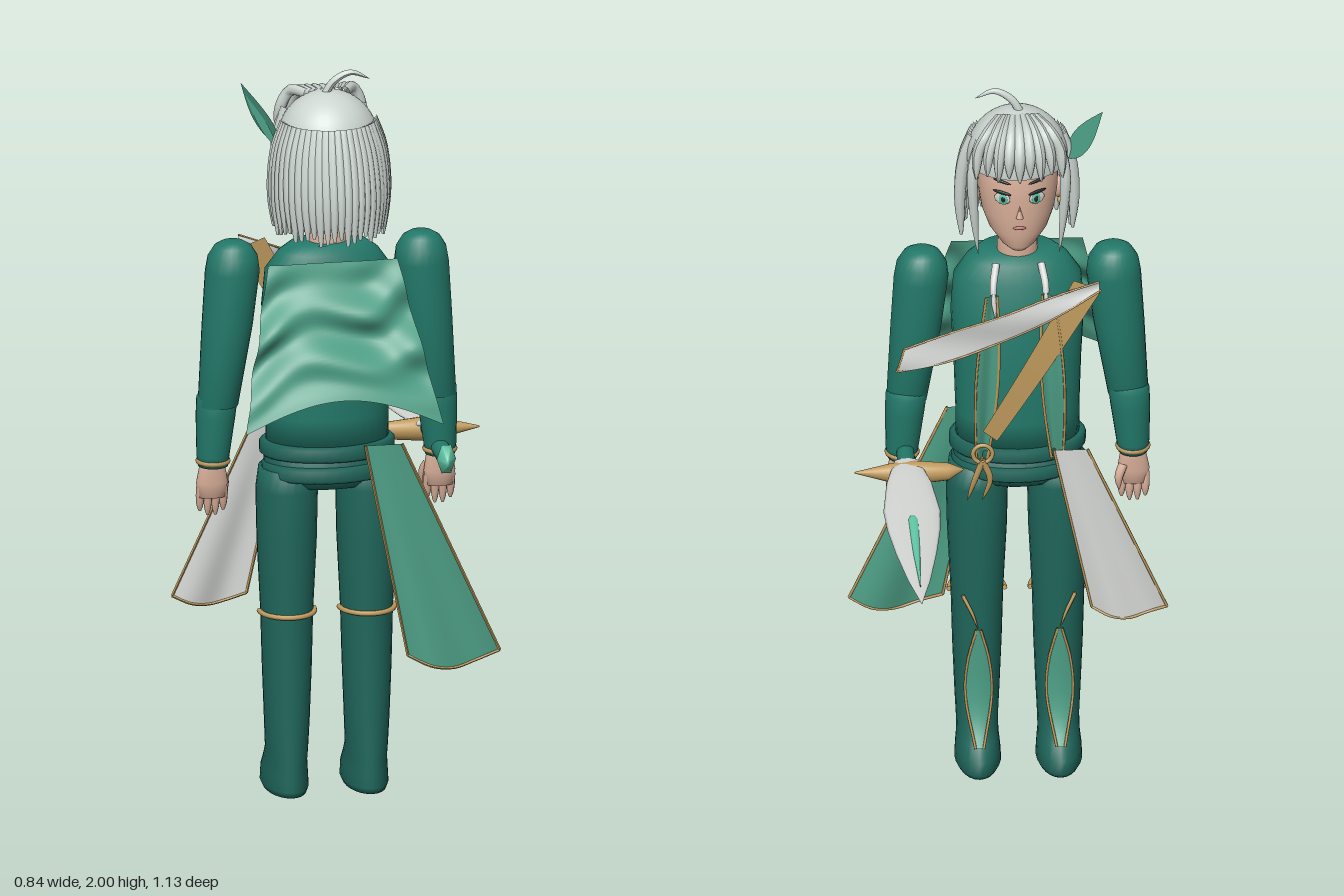
import * as THREE from 'three';

const D = { side: THREE.DoubleSide };
const mat = (name, color, opt = {}) => {
  const m = new THREE.MeshStandardMaterial({ color, ...opt });
  m.name = name;
  return m;
};
const V = (p) => new THREE.Vector3(...p);
const lerp = THREE.MathUtils.lerp;

export function createModel() {
  const teal = mat('teal', 0x23796a), deep = mat('deepTeal', 0x1f665b), green = mat('clothGreen', 0x4c9d84, D),
    mint = mat('mint', 0x62c9a8, D), hair = mat('silverHair', 0xccd5d0), white = mat('whiteCloth', 0xd3d5d2, D),
    gold = mat('gold', 0xbf9a5d, D), skin = mat('skin', 0xdab09a), dark = mat('dark', 0x1b2826), rose = mat('rose', 0xb56f68);

  const root = new THREE.Group();
  root.name = 'swordsman';
  const body = new THREE.Group();
  body.name = 'body';
  body.position.x = -0.03;
  root.add(body);

  const add = (parent, name, geo, m, pos = [0, 0, 0]) => {
    const mesh = new THREE.Mesh(geo, m);
    mesh.name = name;
    mesh.position.set(...pos);
    parent.add(mesh);
    return mesh;
  };

  // Closed elliptical loft; each section is [y, cx, cz, rx, rz]
  const loft = (sections, n = 24) => {
    const f = sections[0], l = sections.at(-1);
    const rings = [[f[0], f[1], f[2], 0, 0], ...sections, [l[0], l[1], l[2], 0, 0]];
    const pos = [], idx = [];
    rings.forEach(([y, cx, cz, rx, rz], i) => {
      for (let j = 0; j < n; j++) {
        const t = (j / n) * Math.PI * 2;
        pos.push(cx + rx * Math.cos(t), y, cz + rz * Math.sin(t));
        if (i === rings.length - 1) continue;
        const a = i * n + j, b = i * n + (j + 1) % n;
        idx.push(a, a + n, b, b, a + n, b + n);
      }
    });
    const g = new THREE.BufferGeometry();
    g.setAttribute('position', new THREE.Float32BufferAttribute(pos, 3));
    g.setIndex(idx);
    g.computeVertexNormals();
    return g;
  };

  // Tube along a curve whose radius follows a taper rule
  const strand = (pts, r, taper = (u) => 1 - 0.95 * u ** 3, seg = 14, rad = 8) => {
    const c = new THREE.CatmullRomCurve3(pts.map(V));
    const g = new THREE.TubeGeometry(c, seg, r, rad);
    const p = g.attributes.position, v = new THREE.Vector3();
    for (let k = 0; k < p.count; k++) {
      const u = Math.floor(k / (rad + 1)) / seg, o = c.getPointAt(u);
      v.fromBufferAttribute(p, k).sub(o).multiplyScalar(taper(u)).add(o);
      p.setXYZ(k, v.x, v.y, v.z);
    }
    g.computeVertexNormals();
    return g;
  };

  // Cloth surface from a rule f(u, v) -> [x, y, z]
  const sheet = (f, nu = 16, nv = 20) => {
    const g = new THREE.PlaneGeometry(1, 1, nu, nv), p = g.attributes.position;
    for (let k = 0; k < p.count; k++) p.setXYZ(k, ...f(p.getX(k) + 0.5, 0.5 - p.getY(k)));
    g.computeVertexNormals();
    return g;
  };
  // Gold piping along the sides and hem of a sheet
  const piping = (name, f, r = 0.004) => {
    const us = [0, 0.25, 0.5, 0.75, 1];
    [us.map((t) => f(0, t)), us.map((t) => f(1, t)), us.map((t) => f(t, 1))]
      .forEach((pts) => add(root, name, strand(pts, r, () => 1, 16, 5), gold));
  };

  // Torso, neck and belt
  add(body, 'torso', loft([[0.96, 0, 0.295, 0.165, 0.115], [1.05, 0, 0.295, 0.165, 0.12], [1.2, 0, 0.298, 0.17, 0.122],
    [1.35, 0, 0.3, 0.178, 0.115], [1.45, 0, 0.305, 0.17, 0.095], [1.5, 0, 0.31, 0.135, 0.078], [1.525, 0, 0.312, 0.1, 0.065]], 32), teal);
  add(body, 'neck', loft([[1.48, 0, 0.3, 0.06, 0.058], [1.53, 0, 0.3, 0.054, 0.053], [1.64, 0, 0.29, 0.052, 0.05]]), skin);
  add(body, 'hips', loft([[0.85, 0, 0.29, 0.13, 0.085], [0.88, 0, 0.29, 0.17, 0.105], [0.97, 0, 0.295, 0.17, 0.118]], 32), deep);
  [[0.895, 0.176, 0.122], [0.955, 0.182, 0.128]].forEach(([y, rx, rz]) =>
    add(body, 'belt', loft([[y - 0.02, 0, 0.295, rx - 0.008, rz - 0.008], [y - 0.012, 0, 0.295, rx, rz],
      [y + 0.015, 0, 0.295, rx, rz], [y + 0.023, 0, 0.295, rx - 0.008, rz - 0.008]], 32), deep));

  // Limbs, built once per side
  for (const s of [1, -1]) {
    const leg = [[0, 0.26, 0.055, 0.118], [0.015, 0.255, 0.062, 0.125], [0.05, 0.255, 0.06, 0.123], [0.085, 0.27, 0.056, 0.108],
      [0.12, 0.288, 0.056, 0.088], [0.2, 0.292, 0.06, 0.082], [0.35, 0.292, 0.066, 0.08], [0.5, 0.29, 0.07, 0.082],
      [0.7, 0.29, 0.08, 0.088], [0.84, 0.29, 0.083, 0.09], [0.9, 0.29, 0.075, 0.085]];
    add(body, 'leg', loft(leg.map(([y, cz, rx, rz]) => [y, s * 0.108, cz, rx, rz])), deep);
    const band = add(body, 'kneeBand', new THREE.TorusGeometry(0.074, 0.007, 8, 20, Math.PI), gold, [s * 0.108, 0.5, 0.29]);
    band.rotation.x = Math.PI / 2;
    band.scale.y = 1.15;

    // Flame panel on the shin with a gold line above
    const panel = (u, v) => {
      const w = 0.036 * Math.sin(Math.PI * Math.min(1, v * 0.85 + 0.05)), x = (u - 0.5) * 2 * w;
      return [s * (0.108 + x), 0.42 - 0.33 * v, 0.203 - 0.055 * v ** 5 + 6 * x * x];
    };
    add(body, 'shinPanel', sheet(panel, 6, 14), green);
    for (const e of [0, 1])
      add(body, 'shinPiping', strand([0, 0.3, 0.6, 1].map((v) => panel(e, v)), 0.004, () => 1, 12, 5), gold);
    add(body, 'shinLine', strand([[s * 0.15, 0.52, 0.215], [s * 0.125, 0.47, 0.203], [s * 0.108, 0.42, 0.203]], 0.005), gold);

    // Arm, forearm, cuff and hand
    add(body, 'upperArm', loft([[1.53, 0.255, 0.03], [1.518, 0.255, 0.05], [1.49, 0.255, 0.067], [1.45, 0.256, 0.073], [1.3, 0.27, 0.068],
      [1.08, 0.295, 0.054]].reverse().map(([y, x, r]) => [y, s * x, 0.295, r, r])), teal);
    add(body, 'forearm', loft([[0.91, 0.307, 0.04], [0.94, 0.307, 0.044], [1.05, 0.3, 0.053], [1.1, 0.296, 0.055],
      [1.12, 0.294, 0.045]].map(([y, x, r]) => [y, s * x, 0.288, r, r * 1.05])), teal);
    const cuff = add(body, 'cuff', new THREE.TorusGeometry(0.039, 0.008, 8, 24), gold, [s * 0.307, 0.923, 0.288]);
    cuff.rotation.x = Math.PI / 2;
    add(body, 'palm', loft([[0.82, 0.308, 0.036, 0.02], [0.86, 0.308, 0.043, 0.024], [0.9, 0.307, 0.036, 0.026], [0.93, 0.307, 0.028, 0.026]]
      .map(([y, x, rx, rz]) => [y, s * x, 0.278, rx, rz])), skin);
    for (let i = 0; i < 4; i++) {
      const x = s * (0.276 + i * 0.021);
      add(body, 'finger', strand([[x, 0.85, 0.278], [x, 0.81, 0.272], [x, i % 3 ? 0.768 : 0.78, 0.27]], 0.012, (u) => 1 - 0.7 * u ** 4, 8), skin);
    }
    add(body, 'thumb', strand([[s * 0.28, 0.88, 0.262], [s * 0.268, 0.85, 0.25], [s * 0.268, 0.81, 0.248]], 0.013, undefined, 8), skin);

    // Face details, ear and earring
    const face = (name, m, x, y, z, sx, sy, rot = 0) => {
      const e = add(body, name, new THREE.SphereGeometry(1, 16, 10), m, [s * x, y, z]);
      e.scale.set(sx, sy, 0.0035);
      e.rotation.set(0, -s * 0.45, s * rot);
    };
    face('eyeWhite', white, 0.046, 1.735, 0.187, 0.023, 0.017);
    face('iris', mint, 0.044, 1.734, 0.184, 0.013, 0.016);
    face('pupil', dark, 0.044, 1.734, 0.182, 0.006, 0.009);
    face('upperLash', dark, 0.047, 1.753, 0.186, 0.027, 0.005, 0.1);
    face('eyebrow', dark, 0.046, 1.785, 0.187, 0.026, 0.004, 0.15);
    const ear = add(body, 'ear', new THREE.SphereGeometry(1, 14, 10), skin, [s * 0.108, 1.71, 0.295]);
    ear.scale.set(0.014, 0.032, 0.02);
    add(body, 'earring', new THREE.SphereGeometry(0.009, 10, 8), gold, [s * 0.114, 1.668, 0.295]);
  }

  // Head, nose and mouth
  add(body, 'head', loft([[1.565, 0, 0.235, 0.025, 0.03], [1.58, 0, 0.245, 0.046, 0.05], [1.62, 0, 0.265, 0.078, 0.078], [1.67, 0, 0.275, 0.097, 0.092],
    [1.73, 0, 0.277, 0.106, 0.096], [1.8, 0, 0.28, 0.108, 0.098], [1.87, 0, 0.29, 0.09, 0.085], [1.9, 0, 0.29, 0.06, 0.06]], 32), skin);
  add(body, 'nose', new THREE.ConeGeometry(0.01, 0.035, 8), skin, [0, 1.695, 0.18]);
  add(body, 'mouth', new THREE.SphereGeometry(1, 12, 8), rose, [0, 1.645, 0.184]).scale.set(0.018, 0.005, 0.005);

  // Hair cap, back strands, fringe, side locks and curl
  add(body, 'hairCap', new THREE.SphereGeometry(0.135, 32, 16, 0, Math.PI * 2, 0, Math.PI * 0.52), hair, [0, 1.803, 0.308]);
  for (let i = 0; i < 27; i++) {
    const a = lerp(-0.02, Math.PI + 0.02, i / 26), c = Math.cos(a), b = Math.max(0, Math.sin(a));
    const at = (r, y, back) => [c * r, y, 0.315 + b * (r + back)];
    add(body, 'backStrand', strand([at(0.115, 1.86, 0), at(0.14, 1.79, 0.005), at(0.152, 1.68, 0.025),
      at(0.148, 1.56 + 0.02 * ((i * 7) % 4) / 3, 0.04)], 0.017, (u) => 1 - 0.75 * u ** 4), hair);
  }
  for (let i = 0; i < 9; i++) {
    const t = i / 4 - 1;
    add(body, 'fringe', strand([[t * 0.05, 1.925, 0.285], [t * 0.085, 1.915, 0.215], [t * 0.108, 1.87, 0.175 + 0.03 * t * t],
      [t * 0.115, 1.79 + 0.015 * (i % 2), 0.165 + 0.03 * t * t]], 0.02, (u) => 0.65 + 0.35 * u - 0.9 * u ** 5), hair);
  }
  for (const s of [1, -1])
    for (const k of [0, 1])
      add(body, 'sideLock', strand([[s * 0.1, 1.88, 0.245], [s * 0.122, 1.8, 0.22 + k * 0.022], [s * 0.12, 1.68, 0.22 + k * 0.02],
        [s * 0.108, 1.545 + k * 0.05, 0.23]], 0.015), hair);
  add(body, 'curl', strand([[-0.01, 1.925, 0.31], [0.015, 1.965, 0.315], [0.06, 1.988, 0.32], [0.11, 1.968, 0.32]], 0.011), hair);

  // Feather ornament beside the head
  const feather = (w, len, off) => sheet((u, v) => {
    const h = (u - 0.5) * 2 * w * Math.sin(Math.PI * v ** 0.7);
    return [-0.165 - 0.09 * v * len + h * 0.5, 1.79 + 0.165 * v * len + h * 0.25, 0.3 - 0.05 * v + h + off];
  }, 4, 12);
  add(root, 'featherOuter', feather(0.034, 1, 0), green);
  add(root, 'featherInner', feather(0.018, 0.8, 0), mint).position.x = -0.006;

  // Short cape with slanting folds
  add(root, 'cape', sheet((u, v) => {
    const fold = Math.sin(16 * v + 5 * u + 1.5 * Math.sin(7 * u)) + 0.6 * Math.sin(9 * u - 13 * v);
    return [lerp(lerp(-0.21, 0.14, u), lerp(-0.3, 0.235, u), v),
      1.49 - v * (0.42 - 0.08 * Math.sin(Math.PI * u)),
      0.405 + 0.155 * v ** 1.1 + 0.017 * fold * Math.sin(Math.PI * Math.min(1, v + 0.04))];
  }, 40, 40), green);

  // Long sashes hanging from the belt
  const greenSash = (u, v) => [lerp(lerp(0.05, 0.15, u), lerp(0.16, 0.41, u), v),
    lerp(0.98, 0.4, v) - 0.04 * v * Math.sin(Math.PI * u), 0.42 + 0.025 * v + 0.02 * v * Math.sin(6 * u)];
  const whiteSash = (u, v) => [lerp(lerp(-0.21, -0.12, u), lerp(-0.42, -0.22, u), v),
    lerp(0.98, 0.51, v) - 0.03 * v * Math.sin(Math.PI * u), 0.165 - 0.02 * v + 0.012 * v * Math.sin(7 * u)];
  [['greenSash', greenSash, green], ['whiteSash', whiteSash, white]].forEach(([name, f, m]) => {
    add(root, name, sheet(f), m);
    piping(name + 'Piping', f);
  });

  // Chest: two lapels, gold baldric, white streamer and cords
  for (const s of [1, -1]) {
    const lapel = (u, v) => [-0.03 + s * (0.075 + 0.025 * v + (u - 0.5) * (0.03 + 0.03 * Math.sin(Math.PI * v))),
      lerp(1.45, 0.95, v), 0.182 - 0.022 * Math.sin(Math.PI * (0.2 + 0.8 * v)) + 0.01 * Math.sin(5 * u)];
    add(root, 'lapel', sheet(lapel, 6, 16), green);
    piping('lapelPiping', lapel);
    add(root, 'collarCord', strand([[-0.03 + s * 0.06, 1.51, 0.235], [-0.03 + s * 0.07, 1.46, 0.19], [-0.03 + s * 0.065, 1.38, 0.16]], 0.01), white);
  }
  add(root, 'baldric', sheet((u, v) => [lerp(-0.21, 0.05, v) + (u - 0.5) * 0.075 * (1 - 0.5 * v), lerp(1.48, 1.03, v) + (u - 0.5) * 0.03,
    0.16 - 0.012 * Math.sin(Math.PI * v)], 4, 12), gold);
  const streamer = (u, v) => [lerp(-0.24, 0.28, v) + 0.02 * u * v, lerp(1.5, 1.31, v) - u * (0.03 + 0.06 * Math.sin(Math.PI * v * 0.8)),
    0.14 + 0.006 * Math.sin(9 * v + 3 * u)];
  add(root, 'streamer', sheet(streamer, 6, 20), white);
  piping('streamerPiping', streamer, 0.003);
  add(root, 'buckleRing', new THREE.TorusGeometry(0.026, 0.006, 8, 20), gold, [0.07, 0.98, 0.155]);
  for (const x of [0.05, 0.09])
    add(root, 'tassel', strand([[0.07, 0.96, 0.155], [x, 0.9, 0.16], [x + 0.02, 0.83, 0.175]], 0.009), gold);

  // Sword pointing backward from the belt
  const sword = new THREE.Group();
  sword.name = 'sword';
  sword.position.x = 0.271;
  root.add(sword);
  const alongZ = (sections, n) => loft(sections.map(([z, y, rx, ry]) => [-z, 0, y, rx, ry]), n).rotateX(-Math.PI / 2);
  add(sword, 'blade', alongZ([[0.17, 0.955, 0.034, 0.01], [0.06, 0.95, 0.06, 0.012], [-0.08, 0.94, 0.076, 0.012], [-0.18, 0.936, 0.07, 0.011],
    [-0.3, 0.932, 0.054, 0.009], [-0.44, 0.929, 0.03, 0.006], [-0.566, 0.927, 0.001, 0.001]], 16), white);
  add(sword, 'fuller', alongZ([[-0.12, 0.946, 0.008, 0.006], [-0.14, 0.945, 0.015, 0.007], [-0.25, 0.941, 0.012, 0.007],
    [-0.49, 0.937, 0.001, 0.002]], 10), mint);
  add(sword, 'grip', alongZ([[0.395, 0.93, 0.024, 0.024], [0.17, 0.945, 0.024, 0.024]], 16), teal);
  add(sword, 'pommel', alongZ([[0.44, 0.925, 0.005, 0.01], [0.41, 0.928, 0.026, 0.045], [0.385, 0.93, 0.015, 0.02]], 6), mint);
  const guard = loft([[-0.15, 0, 0.155, 0.002, 0.002], [-0.11, 0, 0.145, 0.024, 0.02], [-0.02, 0, 0.145, 0.032, 0.03], [0.04, 0, 0.145, 0.027, 0.026],
    [0.14, 0, 0.152, 0.002, 0.002]], 16).rotateZ(-Math.PI / 2);
  add(sword, 'crossguard', guard, gold, [0, 0.935, 0]);

  return root;
}
